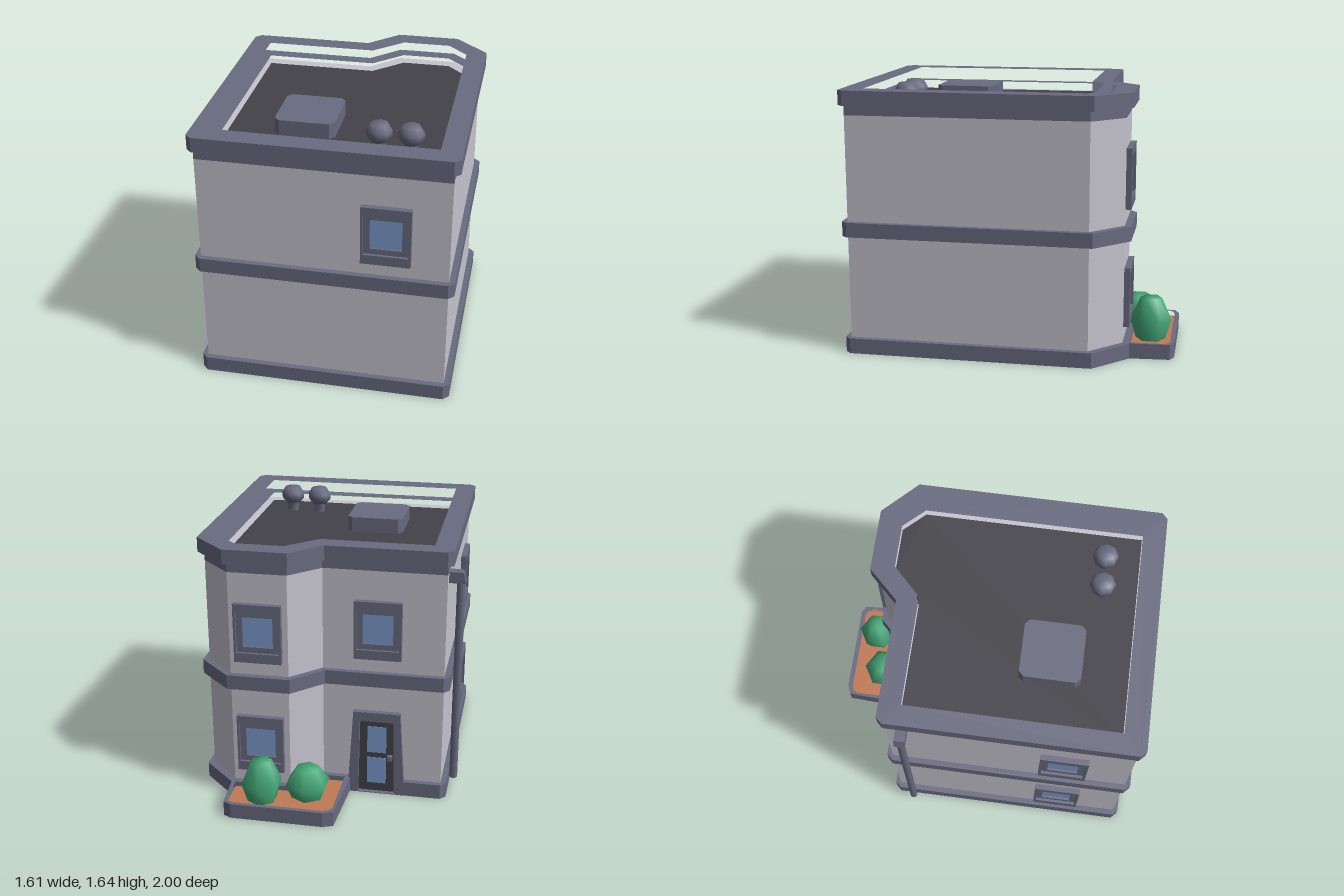
import * as THREE from 'three';

const mat = (name, color) => Object.assign(new THREE.MeshStandardMaterial({ color }), { name });

export function createModel() {
  const trim = mat('slate trim', 0x696b80);
  const wall = mat('pale wall', 0xc6c5cf);
  const dark = mat('dark roof', 0x434249);
  const glass = mat('blue glass', 0x7c9ccf);
  const soil = mat('terracotta soil', 0xc07a55);
  const leaf = mat('green leaf', 0x45a878);

  const model = new THREE.Group();
  model.name = 'townhouse';

  const add = (name, geometry, material, parent = model, x = 0, y = 0, z = 0) => {
    const mesh = new THREE.Mesh(geometry, material);
    mesh.name = name;
    mesh.position.set(x, y, z);
    parent.add(mesh);
    return mesh;
  };
  const poly = (pts) => new THREE.Shape(pts.map(([x, y]) => new THREE.Vector2(x, y)));
  const rect = (x0, y0, x1, y1) => [[x0, y0], [x1, y0], [x1, y1], [x0, y1]];
  // Upright panel facing +z
  const panel = (pts, depth, hole) => {
    const shape = poly(pts);
    if (hole) shape.holes.push(poly(hole));
    return new THREE.ExtrudeGeometry(shape, { depth, bevelEnabled: false });
  };
  // Horizontal slab from a plan outline of [x, z] points
  const flip = (pts) => pts.map(([x, z]) => [x, -z]);
  const slab = (pts, y0, y1, hole) =>
    panel(flip(pts), y1 - y0, hole && flip(hole)).rotateX(-Math.PI / 2).translate(0, y0, 0);

  // Plan outlines
  const rest = [[0.02, -0.545], [0.2, -0.73], [0.59, -0.73], [0.8, -0.525], [0.8, 0.965],
    [0.765, 1], [-0.705, 1], [-0.74, 0.965], [-0.74, -0.51], [-0.705, -0.545]];
  const doorX = -0.3;
  const notch = [[doorX - 0.15, -0.545], [doorX - 0.15, -0.51], [doorX + 0.15, -0.51], [doorX + 0.15, -0.545]];
  const body = [[-0.705, -0.51], [0.04, -0.51], [0.215, -0.688], [0.575, -0.688],
    [0.765, -0.5], [0.765, 0.965], [-0.705, 0.965]];
  const well = [[-0.615, -0.425], [0.07, -0.425], [0.25, -0.6], [0.55, -0.6],
    [0.675, -0.47], [0.675, 0.87], [-0.615, 0.87]];

  // Walls, bands and parapet
  add('walls', slab(body, 0.002, 1.47), wall);
  add('baseBand', slab([...rest, ...notch], 0, 0.095), trim);
  add('middleBand', slab(rest, 0.735, 0.825), trim);
  add('corniceStrip', slab(body, 1.47, 1.53, well), trim);
  add('parapet', slab(rest, 1.53, 1.62, well), trim);
  add('roofFloor', slab(well, 1.468, 1.476), dark);

  // Roof hatch and vents
  add('roofHatch', slab([[-0.305, 0.225], [-0.005, 0.225], [0.025, 0.255], [0.025, 0.56],
    [-0.005, 0.59], [-0.305, 0.59], [-0.335, 0.56], [-0.335, 0.255]], 1.476, 1.57), trim);
  const ventProfile = [[0.038, 1.47], [0.038, 1.535], [0.05, 1.535], [0.076, 1.565],
    [0.076, 1.6], [0.052, 1.64], [0, 1.64]].map(([r, y]) => new THREE.Vector2(r, y));
  for (const x of [0.3, 0.485]) add('roofVent', new THREE.LatheGeometry(ventProfile, 8), trim, model, x, 0, 0.655);

  // Windows: outer frame, stepped inner frame, glass pane
  const opening = rect(-0.13, -0.125, 0.13, 0.135);
  const pane = rect(-0.0925, -0.09, 0.0925, 0.1);
  const outerFrame = panel(rect(-0.145, -0.185, 0.145, 0.185), 0.035, opening);
  const innerFrame = panel(opening, 0.018, pane);
  const paneGeometry = panel(pane, 0.004);
  const addWindow = (x, y, z, turn) => {
    const g = new THREE.Group();
    g.name = 'window';
    add('windowFrame', outerFrame, trim, g);
    add('windowSash', innerFrame, trim, g);
    add('windowGlass', paneGeometry, glass, g);
    g.position.set(x, y, z);
    g.rotation.y = turn;
    model.add(g);
  };
  const low = 0.3675, high = 1.1;
  addWindow(0.4, high, 0.965, 0);
  addWindow(doorX, high, -0.51, Math.PI);
  for (const y of [low, high]) {
    addWindow(0.395, y, -0.688, Math.PI);
    addWindow(-0.705, y, 0.56, -Math.PI / 2);
  }

  // Back door with tapered surround
  const door = new THREE.Group();
  door.name = 'door';
  door.position.set(doorX, 0, -0.51);
  door.rotation.y = Math.PI;
  model.add(door);
  const doorway = [[-0.115, 0.004], [0.115, 0.004], [0.105, 0.5], [-0.105, 0.5]];
  add('doorSurround', panel([[-0.18, 0], [0.18, 0], [0.145, 0.56], [-0.145, 0.56]], 0.037, doorway), trim, door);
  add('doorPanel', panel(doorway, 0.009), dark, door);
  for (const y of [0.06, 0.275]) add('doorGlass', panel(rect(-0.06, y, 0.06, y + 0.18), 0.005), glass, door, 0, 0, 0.007);
  add('doorHandle', new THREE.BoxGeometry(0.03, 0.03, 0.036), trim, door, 0.085, 0.25, 0.022);

  // Drainpipe with hopper head
  add('drainpipe', new THREE.CylinderGeometry(0.025, 0.025, 1.31, 8), trim, model, -0.775, 0.75, -0.41);
  add('drainpipeHead', panel([[-0.805, 1.4], [-0.7, 1.4], [-0.7, 1.468], [-0.79, 1.468]], 0.066),
    trim, model, 0, 0, -0.443);

  // Planter
  const curbOut = [[-0.138, -0.48], [-0.112, -0.975], [-0.05, -1], [0.52, -1], [0.568, -0.975], [0.59, -0.68], [0.59, -0.48]];
  const curbIn = [[-0.1, -0.5], [-0.098, -0.93], [-0.08, -0.96], [-0.045, -0.973], [0.515, -0.973],
    [0.545, -0.96], [0.56, -0.92], [0.56, -0.5]];
  add('planterBase', slab(curbOut, 0, 0.055), trim);
  add('planterCurb', slab(curbOut, 0.055, 0.095, curbIn), trim);
  add('planterSoil', slab(curbIn, 0.055, 0.064), soil);

  // Bushes: [x, z, radius, widest height, top height]
  for (const [x, z, r, mid, top] of [[0.093, -0.75, 0.142, 0.155, 0.255], [0.36, -0.843, 0.128, 0.185, 0.325]]) {
    const profile = [[r * 0.72, 0.06], [r, mid], [r * 0.52, top], [0, top]].map(([a, b]) => new THREE.Vector2(a, b));
    add('bush', new THREE.LatheGeometry(profile, 6), leaf, model, x, 0, z);
  }
  return model;
}
